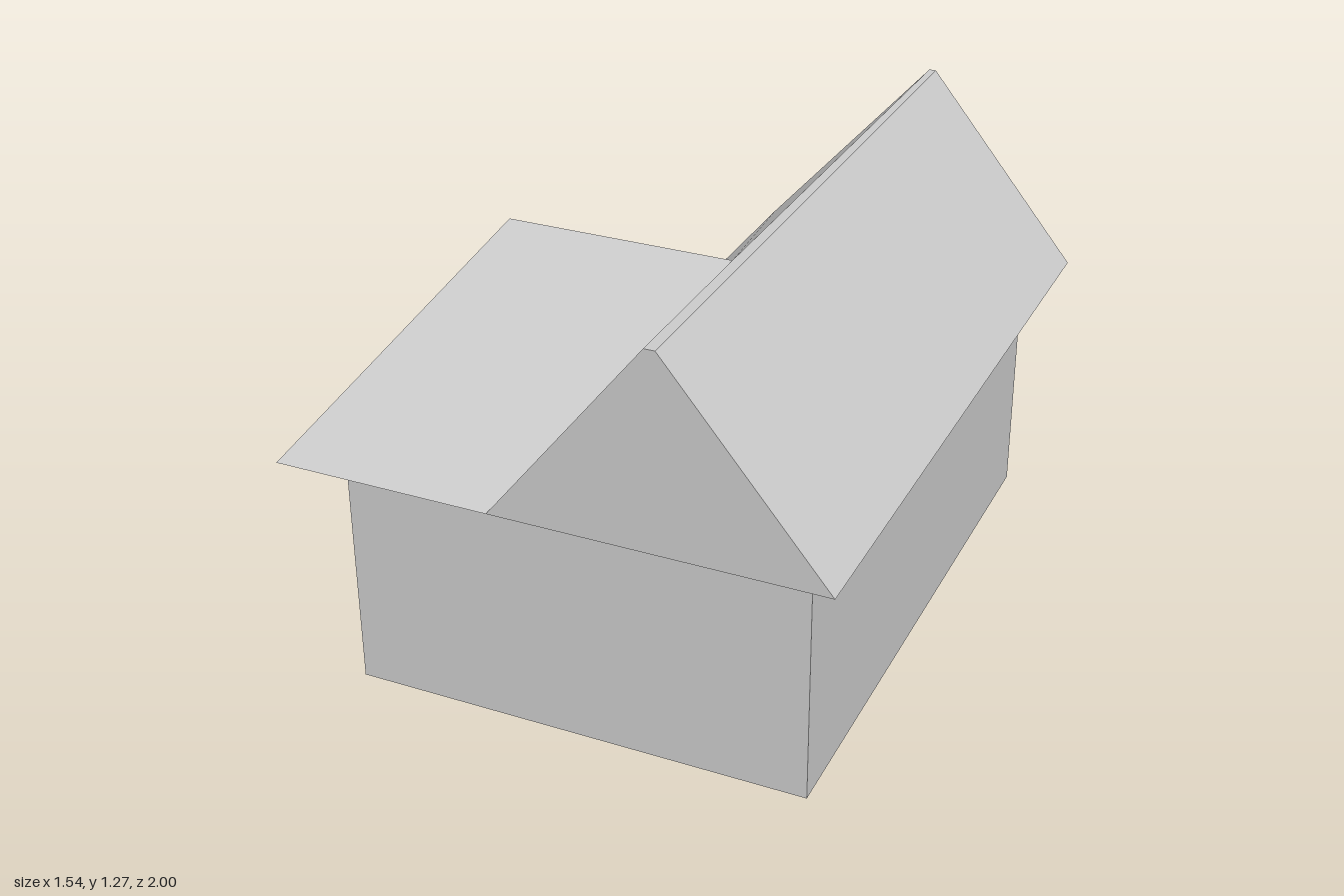
import * as THREE from 'three';

const material = new THREE.MeshStandardMaterial({ color: 0xcccccc, flatShading: true, side: THREE.DoubleSide });
const EAVE = 0.72, RIDGE = 1.275;

function addMesh(parent, name, geometry) {
  const mesh = new THREE.Mesh(geometry, material);
  mesh.name = name;
  parent.add(mesh);
  return mesh;
}

// Flat polygons, each a list of [x, y, z] corners, cut into fans
function polygons(faces) {
  const positions = [];
  for (const face of faces)
    for (let i = 1; i < face.length - 1; i++) positions.push(...face[0], ...face[i], ...face[i + 1]);
  const geometry = new THREE.BufferGeometry();
  geometry.setAttribute('position', new THREE.Float32BufferAttribute(positions, 3));
  geometry.computeVertexNormals();
  return geometry;
}

const rectangle = (Type, u0, v0, u1, v1) => {
  const path = new Type();
  path.moveTo(u0, v0).lineTo(u1, v0).lineTo(u1, v1).lineTo(u0, v1).closePath();
  return path;
};

const toPoints = outline => outline.map(([x, z]) => new THREE.Vector2(x, z));

// L-shaped plans as [x, z]
const wallPlan = [[-0.645, 0.87], [0.665, 0.87], [0.665, -0.87], [-0.05, -0.87], [-0.05, 0.115], [-0.645, 0.115]];
const eavePlan = [[-0.77, 1], [0.77, 1], [0.77, -1], [-0.2, -1], [-0.2, -0.02], [-0.77, -0.02]];

function addWalls(house) {
  addMesh(house, 'walls', polygons(wallPlan.map(([x, z], i) => {
    const [x2, z2] = wallPlan[(i + 1) % wallPlan.length];
    return [[x, 0, z], [x2, 0, z2], [x2, EAVE, z2], [x, EAVE, z]];
  })));
}

function addRoof(house) {
  const roof = new THREE.Group();
  roof.name = 'roof';
  house.add(roof);

  const [sideFront, mainFront, mainBack, innerBack, innerCorner, sideBack] = eavePlan.map(([x, z]) => [x, EAVE, z]);
  const valleyFoot = [-0.155, EAVE, 1];
  const hipTop = [-0.34, RIDGE, 0.485], valleyTop = [0.285, RIDGE, 0.485];
  const ridgeFrontL = [0.285, RIDGE, 1], ridgeFrontR = [0.315, RIDGE, 1];
  const ridgeBackR = [0.315, RIDGE, -1], ridgeBackL = [0.295, RIDGE, -1];

  addMesh(roof, 'mainRoof', polygons([
    [mainFront, mainBack, ridgeBackR, ridgeFrontR],
    [innerBack, innerCorner, valleyTop, ridgeBackL],
    [valleyFoot, ridgeFrontL, valleyTop],
    [ridgeFrontR, ridgeBackR, ridgeBackL, valleyTop, ridgeFrontL],
  ]));
  addMesh(roof, 'gables', polygons([
    [valleyFoot, mainFront, ridgeFrontR, ridgeFrontL],
    [mainBack, innerBack, ridgeBackL, ridgeBackR],
  ]));
  addMesh(roof, 'sideRoof', polygons([
    [sideFront, valleyFoot, valleyTop, hipTop],
    [innerCorner, sideBack, hipTop, valleyTop],
    [sideBack, sideFront, hipTop],
  ]));

  // Soffit closes the overhang and leaves the rooms open to the roof
  const soffit = new THREE.Shape(toPoints(eavePlan));
  soffit.holes.push(new THREE.Path(toPoints(wallPlan)));
  addMesh(roof, 'soffit', new THREE.ShapeGeometry(soffit).rotateX(Math.PI / 2).translate(0, EAVE, 0));
}

function addDoor(house) {
  const door = new THREE.Group();
  door.name = 'door';
  door.position.set(-0.05, 0, -0.205);
  house.add(door);

  // Shapes are drawn across z and up y, then pushed out toward -x
  const slab = (name, shape, from, depth) => addMesh(door, name,
    new THREE.ExtrudeGeometry(shape, { depth, bevelEnabled: false }).rotateY(-Math.PI / 2).translate(-from, 0, 0));

  // Surround: two jambs and a head
  const frame = new THREE.Shape(toPoints([
    [-0.17, 0], [-0.135, 0], [-0.135, 0.63], [0.135, 0.63], [0.135, 0], [0.17, 0], [0.17, 0.665], [-0.17, 0.665]]));
  slab('doorFrame', frame, -0.005, 0.025);

  // Leaf with four recessed openings and a raised field in each
  const leaf = rectangle(THREE.Shape, -0.135, 0.005, 0.135, 0.63);
  for (const u of [-0.11, 0.015])
    for (const [v0, v1] of [[0.06, 0.33], [0.39, 0.59]]) {
      leaf.holes.push(rectangle(THREE.Path, u, v0, u + 0.095, v1));
      slab('doorPanel', rectangle(THREE.Shape, u + 0.015, v0 + 0.015, u + 0.08, v1 - 0.015), 0, 0.008);
    }
  slab('doorLeaf', leaf, 0, 0.013);

  // Knob on a round rose
  const profile = [[0, 0.05], [0.01, 0.048], [0.016, 0.038], [0.01, 0.029], [0.006, 0.025], [0.006, 0.018], [0.016, 0.017], [0.016, 0.01]];
  addMesh(door, 'doorKnob', new THREE.LatheGeometry(toPoints(profile), 12).rotateZ(Math.PI / 2).translate(0, 0.36, 0));
}

export function createModel() {
  const house = new THREE.Group();
  house.name = 'house';
  addWalls(house);
  addRoof(house);
  addDoor(house);
  return house;
}
